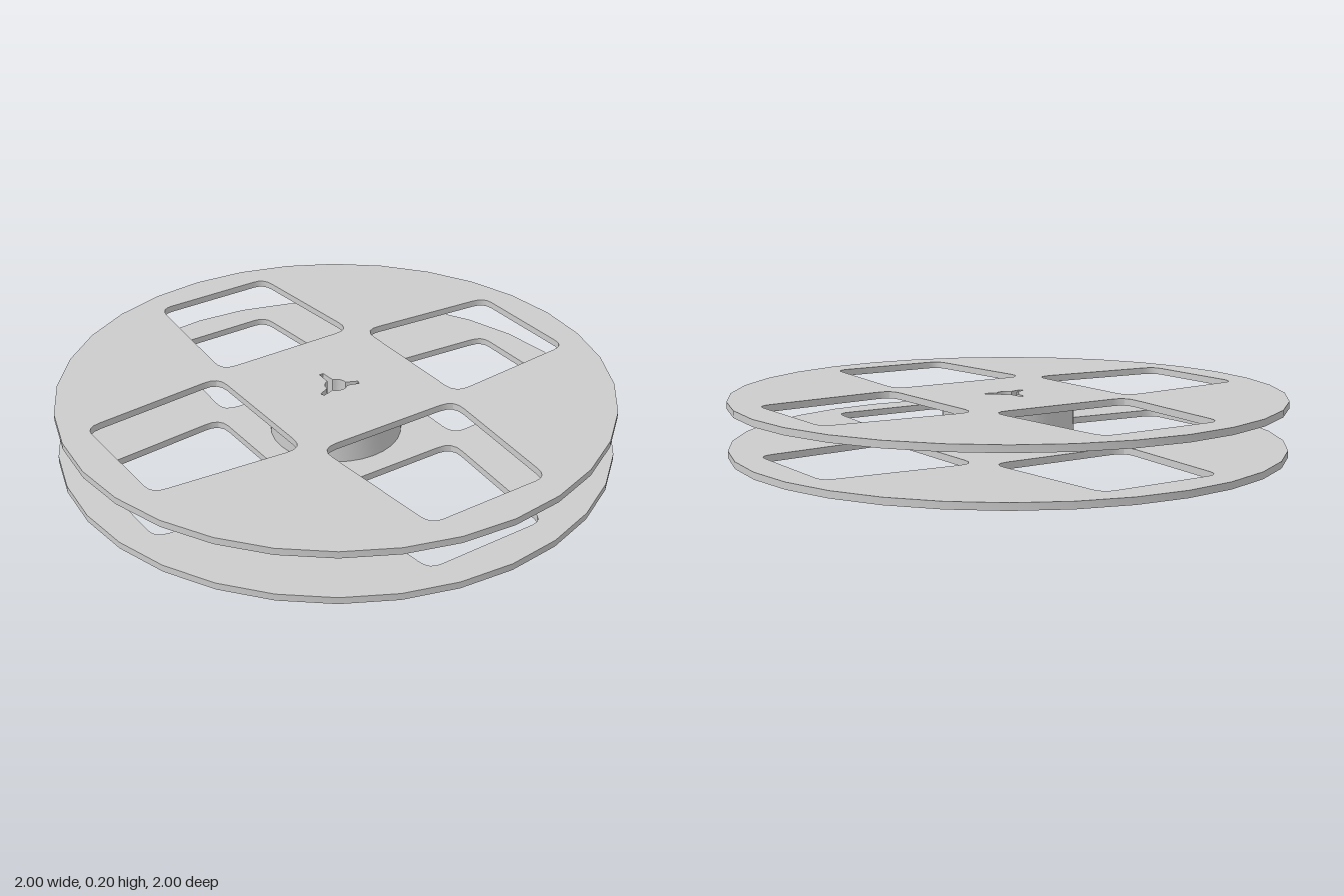
import * as THREE from 'three';
import { toCreasedNormals } from 'three/addons/utils/BufferGeometryUtils.js';

const RADIUS = 1, FLANGE = 0.025, HEIGHT = 0.2, HUB_RADIUS = 0.237;

// Regular polygon outline
function circlePoints(radius, sides) {
  return Array.from({ length: sides }, (_, i) => {
    const a = (i / sides) * Math.PI * 2;
    return new THREE.Vector2(radius * Math.cos(a), radius * Math.sin(a));
  });
}

// Round spindle bore with three narrow key slots
function borePath() {
  const r = 0.04, base = 0.28, tipHalf = 0.008;
  const slots = [[90, 0.094], [201, 0.084], [339, 0.084]].map(([deg, len]) => [deg * Math.PI / 180, len]);
  const pts = [];
  slots.forEach(([a, len], i) => {
    const c = Math.cos(a), s = Math.sin(a);
    const polar = (t) => pts.push(new THREE.Vector2(r * Math.cos(t), r * Math.sin(t)));
    polar(a - base);
    for (const side of [-tipHalf, tipHalf]) pts.push(new THREE.Vector2(len * c - side * s, len * s + side * c));
    // arc to the next slot
    const next = slots[(i + 1) % 3][0] + (i === 2 ? Math.PI * 2 : 0) - base;
    for (let k = 0; k < 6; k++) polar(THREE.MathUtils.lerp(a + base, next, k / 6));
  });
  return new THREE.Path(pts);
}

// Tapered window with rounded corners, turned about the axis
function windowPath(angle) {
  const p = (x, y) => [x * Math.cos(angle) - y * Math.sin(angle), x * Math.sin(angle) + y * Math.cos(angle)];
  const inner = 0.323, outer = 0.873;
  const path = new THREE.Path();
  path.moveTo(...p(-0.22, inner));
  path.lineTo(...p(0.22, inner));
  path.quadraticCurveTo(...p(0.285, inner), ...p(0.277, 0.39));
  path.lineTo(...p(0.241, 0.82));
  path.quadraticCurveTo(...p(0.237, outer), ...p(0.19, outer));
  path.lineTo(...p(-0.19, outer));
  path.quadraticCurveTo(...p(-0.237, outer), ...p(-0.241, 0.82));
  path.lineTo(...p(-0.277, 0.39));
  path.quadraticCurveTo(...p(-0.285, inner), ...p(-0.22, inner));
  path.closePath();
  return path;
}

// Extrude a pierced outline upward from height y
function plate(name, outline, holes, y, depth, material) {
  const shape = new THREE.Shape(outline);
  shape.holes.push(...holes);
  const geometry = new THREE.ExtrudeGeometry(shape, { depth, bevelEnabled: false, curveSegments: 4 });
  geometry.rotateX(-Math.PI / 2);
  const mesh = new THREE.Mesh(toCreasedNormals(geometry, 0.5), material);
  mesh.name = name;
  mesh.position.y = y;
  return mesh;
}

export function createModel() {
  const model = new THREE.Group();
  model.name = 'reel';
  const material = new THREE.MeshStandardMaterial({ color: 0xcccccc });

  // Two matching flanges
  for (const [name, y] of [['lowerFlange', 0], ['upperFlange', HEIGHT - FLANGE]]) {
    const holes = [0, 1, 2, 3].map((i) => windowPath(i * Math.PI / 2));
    model.add(plate(name, circlePoints(RADIUS, 32), [...holes, borePath()], y, FLANGE, material));
  }

  // Hub between the flanges, with the bore running through
  model.add(plate('hub', circlePoints(HUB_RADIUS, 32), [borePath()], FLANGE, HEIGHT - 2 * FLANGE, material));
  return model;
}
